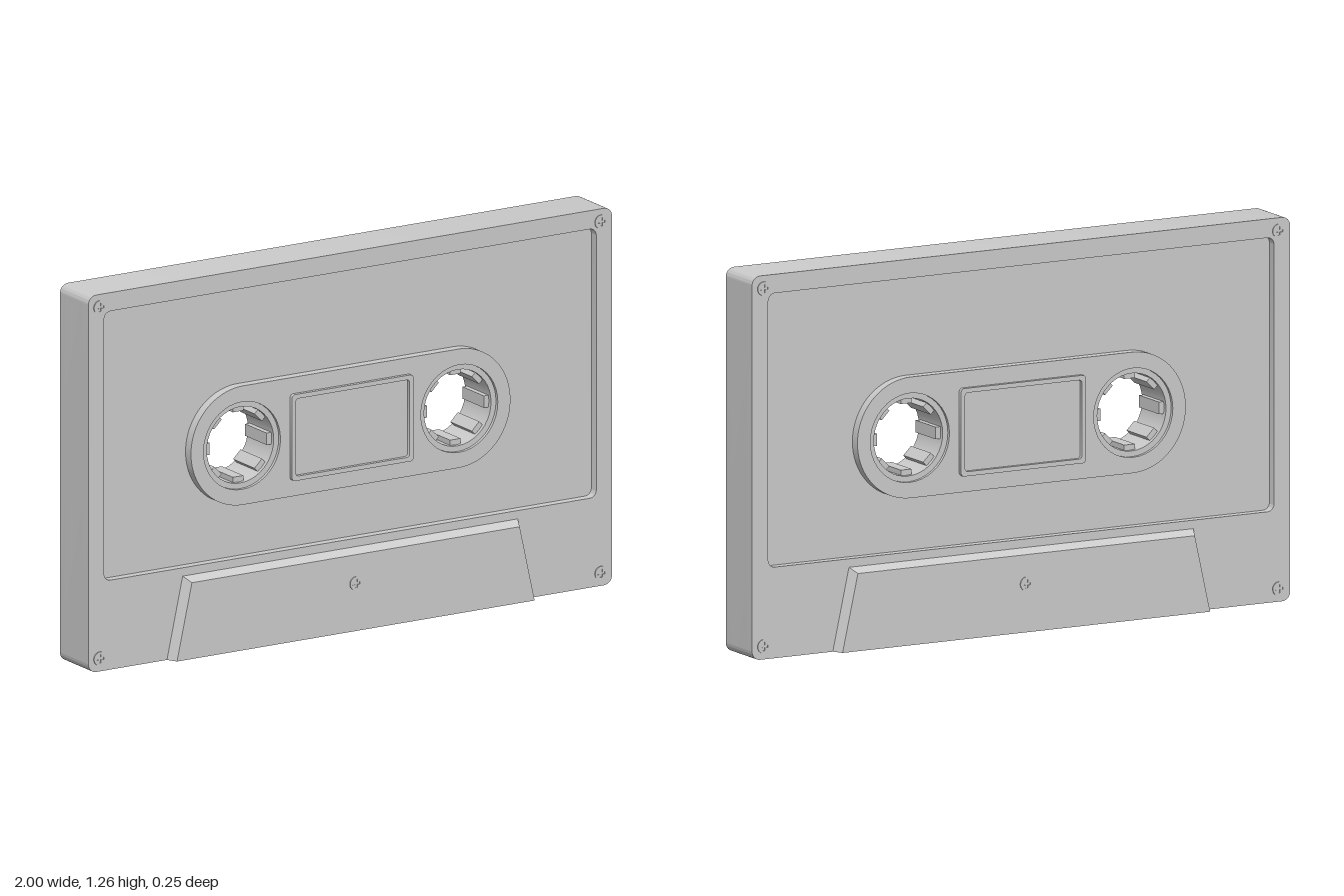
import * as THREE from 'three';
import { toCreasedNormals } from 'three/addons/utils/BufferGeometryUtils.js';
import { ConvexGeometry } from 'three/addons/geometries/ConvexGeometry.js';

const HALF = 0.086, FLOOR = 0.056, HEIGHT = 1.265;
const HUB_X = 0.415, HUB_Y = 0.677, HUB_R = 0.147;

const material = new THREE.MeshStandardMaterial({ color: 0xcccccc });

// Rounded rectangle from x0,y0 to x1,y1
function roundedRect(x0, y0, x1, y1, r, Type = THREE.Shape) {
  const p = new Type();
  p.moveTo(x1, y0 + r);
  p.absarc(x1 - r, y1 - r, r, 0, Math.PI / 2);
  p.absarc(x0 + r, y1 - r, r, Math.PI / 2, Math.PI);
  p.absarc(x0 + r, y0 + r, r, Math.PI, Math.PI * 1.5);
  p.absarc(x1 - r, y0 + r, r, Math.PI * 1.5, Math.PI * 2);
  p.closePath();
  return p;
}

function circle(x, y, r, Type = THREE.Path) {
  const p = new Type();
  p.absarc(x, y, r, 0, Math.PI * 2);
  return p;
}

// Extrude a shape between two depths, with smooth curves and sharp edges
function plate(name, shape, z0, z1, holes = []) {
  shape.holes.push(...holes);
  const geo = new THREE.ExtrudeGeometry(shape, { depth: z1 - z0, bevelEnabled: false, curveSegments: 20 });
  geo.translate(0, 0, z0);
  return named(name, toCreasedNormals(geo, 0.6));
}

function named(name, geometry) {
  const mesh = new THREE.Mesh(geometry, material);
  mesh.name = name;
  return mesh;
}

const hubHoles = () => [-HUB_X, HUB_X].map((x) => circle(x, HUB_Y, HUB_R));
const outline = () => roundedRect(-1, 0, 1, HEIGHT, 0.03);

// Small screw head with a cross-shaped recess
function screw(x, y, z) {
  const a = 0.004, b = 0.014;
  const cross = new THREE.Path([
    [b, a], [a, a], [a, b], [-a, b], [-a, a], [-b, a],
    [-b, -a], [-a, -a], [-a, -b], [a, -b], [a, -a], [b, -a],
  ].map(([u, v]) => new THREE.Vector2(u, v)));
  const mesh = plate('screw', circle(0, 0, 0.023, THREE.Shape), -0.01, 0.003, [cross]);
  mesh.position.set(x, y, z);
  return mesh;
}

// Everything mounted on one face of the shell
function createFace(name) {
  const face = new THREE.Group();
  face.name = name;

  // Raised border around the label recess
  face.add(plate('border', outline(), FLOOR, HALF,
    [roundedRect(-0.94, 0.3, 0.94, 1.203, 0.025, THREE.Path)]));

  // Pill-shaped raised centre
  face.add(plate('centrePanel', roundedRect(-0.61, 0.478, 0.61, 0.877, 0.199), FLOOR, 0.089, hubHoles()));

  // Window frame
  face.add(plate('windowFrame', roundedRect(-0.232, 0.532, 0.232, 0.822, 0.012), 0.08, 0.102,
    [roundedRect(-0.217, 0.547, 0.217, 0.807, 0.01, THREE.Path)]));

  // Thick bevelled section along the bottom edge
  const corners = [[0.7, 0.64, 0.272, HALF - 0.01], [0.7, 0.64, 0.272, HALF], [0.683, 0.626, 0.256, 0.12]];
  const points = [];
  for (const [xb, xt, top, z] of corners)
    for (const s of [-1, 1])
      points.push(new THREE.Vector3(s * xb, 0, z), new THREE.Vector3(s * xt, top, z));
  face.add(named('bottomWedge', new ConvexGeometry(points)));

  // Corner screws and the one on the wedge
  for (const x of [-0.957, 0.957])
    for (const y of [0.043, HEIGHT - 0.043]) face.add(screw(x, y, HALF));
  face.add(screw(0, 0.16, 0.12));
  return face;
}

// Reel hub: a sleeve with eight inward teeth
function createHub(x) {
  const hub = new THREE.Group();
  hub.name = x > 0 ? 'leftHub' : 'rightHub';
  hub.position.set(x, HUB_Y, 0);
  hub.add(plate('sleeve', circle(0, 0, HUB_R, THREE.Shape), -0.078, 0.078, [circle(0, 0, 0.128)]));
  for (let i = 0; i < 8; i++) {
    const a = (i * Math.PI) / 4;
    const tooth = named('tooth', new THREE.BoxGeometry(0.027, 0.04, 0.13));
    tooth.position.set(Math.cos(a) * 0.1225, Math.sin(a) * 0.1225, 0);
    tooth.rotation.z = a;
    hub.add(tooth);
  }
  return hub;
}

export function createModel() {
  const model = new THREE.Group();
  model.name = 'cassette';

  // Core slab between the two faces
  model.add(plate('shell', outline(), -FLOOR, FLOOR, hubHoles()));

  const back = createFace('backFace');
  back.rotation.y = Math.PI;
  model.add(createFace('frontFace'), back);

  model.add(createHub(-HUB_X), createHub(HUB_X));
  return model;
}
